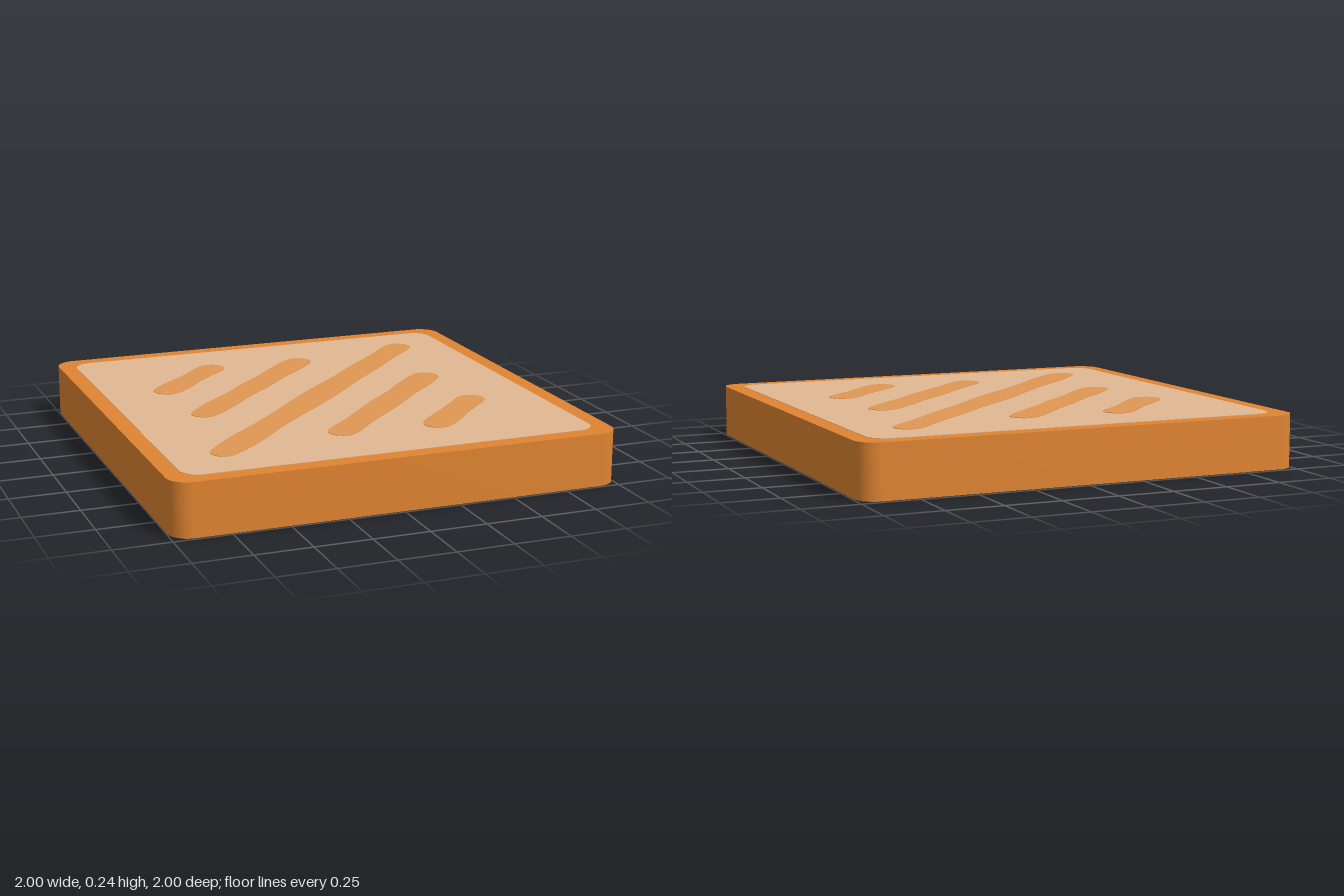
import * as THREE from 'three';
import { toCreasedNormals } from 'three/addons/utils/BufferGeometryUtils.js';

const HEIGHT = 0.243;
const LAYER = 0.002; // thickness of each painted plate

// Streaks: centre-line ends (x, z) and half-widths along the length
const STREAKS = [
  { from: [-0.63, -0.31], to: [-0.325, -0.615], widths: [0.066, 0.069, 0.06, 0.062, 0.066] },
  { from: [-0.585, 0.11], to: [0.11, -0.585], widths: [0.06, 0.068, 0.06, 0.067, 0.062, 0.068, 0.064] },
  { from: [-0.68, 0.68], to: [0.68, -0.68], widths: [0.06, 0.073, 0.064, 0.067, 0.075, 0.073, 0.066, 0.069, 0.062, 0.064] },
  { from: [-0.115, 0.58], to: [0.58, -0.115], widths: [0.064, 0.062, 0.066, 0.07, 0.064, 0.07, 0.065] },
  { from: [0.315, 0.615], to: [0.615, 0.315], widths: [0.065, 0.068, 0.062, 0.064, 0.063] },
];

function roundedSquare(half, r) {
  const s = new THREE.Shape();
  const c = half - r;
  s.absarc(c, c, r, 0, Math.PI / 2);
  s.absarc(-c, c, r, Math.PI / 2, Math.PI);
  s.absarc(-c, -c, r, Math.PI, Math.PI * 1.5);
  s.absarc(c, -c, r, Math.PI * 1.5, Math.PI * 2);
  s.closePath();
  return s;
}

// Round-ended stroke whose two edges wander with the half-widths
function streakShape({ from, to, widths }) {
  const a = new THREE.Vector2(from[0], -from[1]);
  const b = new THREE.Vector2(to[0], -to[1]);
  const along = b.clone().sub(a).normalize();
  const side = new THREE.Vector2(-along.y, along.x);
  const n = widths.length - 1;
  const at = (t, f, s) => a.clone().lerp(b, t).addScaledVector(along, f).addScaledVector(side, s);
  const points = [];
  for (let i = 0; i <= n; i++) points.push(at(i / n, 0, -widths[i]));
  for (const k of [-1, 0, 1]) points.push(at(1, widths[n] * Math.cos(k * 0.8), widths[n] * Math.sin(k * 0.8)));
  for (let i = n; i >= 0; i--) points.push(at(i / n, 0, widths[i]));
  for (const k of [1, 0, -1]) points.push(at(0, -widths[0] * Math.cos(k * 0.8), widths[0] * Math.sin(k * 0.8)));
  const curve = new THREE.CatmullRomCurve3(points.map((p) => new THREE.Vector3(p.x, p.y, 0)), true);
  return new THREE.Shape(curve.getPoints(80).slice(0, -1).map((p) => new THREE.Vector2(p.x, p.y)));
}

// Horizontal slab of a shape, from y = bottom upwards
function slab(name, shape, depth, bottom, material) {
  const geometry = new THREE.ExtrudeGeometry(shape, { depth, bevelEnabled: false, curveSegments: 10 });
  geometry.rotateX(-Math.PI / 2);
  const mesh = new THREE.Mesh(toCreasedNormals(geometry, 0.6), material);
  mesh.name = name;
  mesh.position.y = bottom;
  return mesh;
}

export function createModel() {
  const frameOrange = new THREE.MeshStandardMaterial({ name: 'frame orange', color: 0xe08431 });
  const paneBeige = new THREE.MeshStandardMaterial({ name: 'pane beige', color: 0xe1b793 });
  const streakOrange = new THREE.MeshStandardMaterial({ name: 'streak orange', color: 0xe09753 });

  const model = new THREE.Group();
  model.name = 'glazedTile';

  // Solid body with rounded corners
  const inset = LAYER * 2;
  model.add(slab('body', roundedSquare(1, 0.09), HEIGHT - inset * 2, inset, frameOrange));

  // Pane and diagonal streaks, on the top and turned over on the underside
  for (const name of ['topFace', 'bottomFace']) {
    const face = new THREE.Group();
    face.name = name;
    face.add(slab('pane', roundedSquare(0.925, 0.08), LAYER, 0, paneBeige));
    for (const s of STREAKS) face.add(slab('streak', streakShape(s), LAYER, LAYER, streakOrange));
    if (name === 'topFace') {
      face.position.y = HEIGHT - inset;
    } else {
      face.rotation.x = Math.PI;
      face.position.y = inset;
    }
    model.add(face);
  }
  return model;
}
